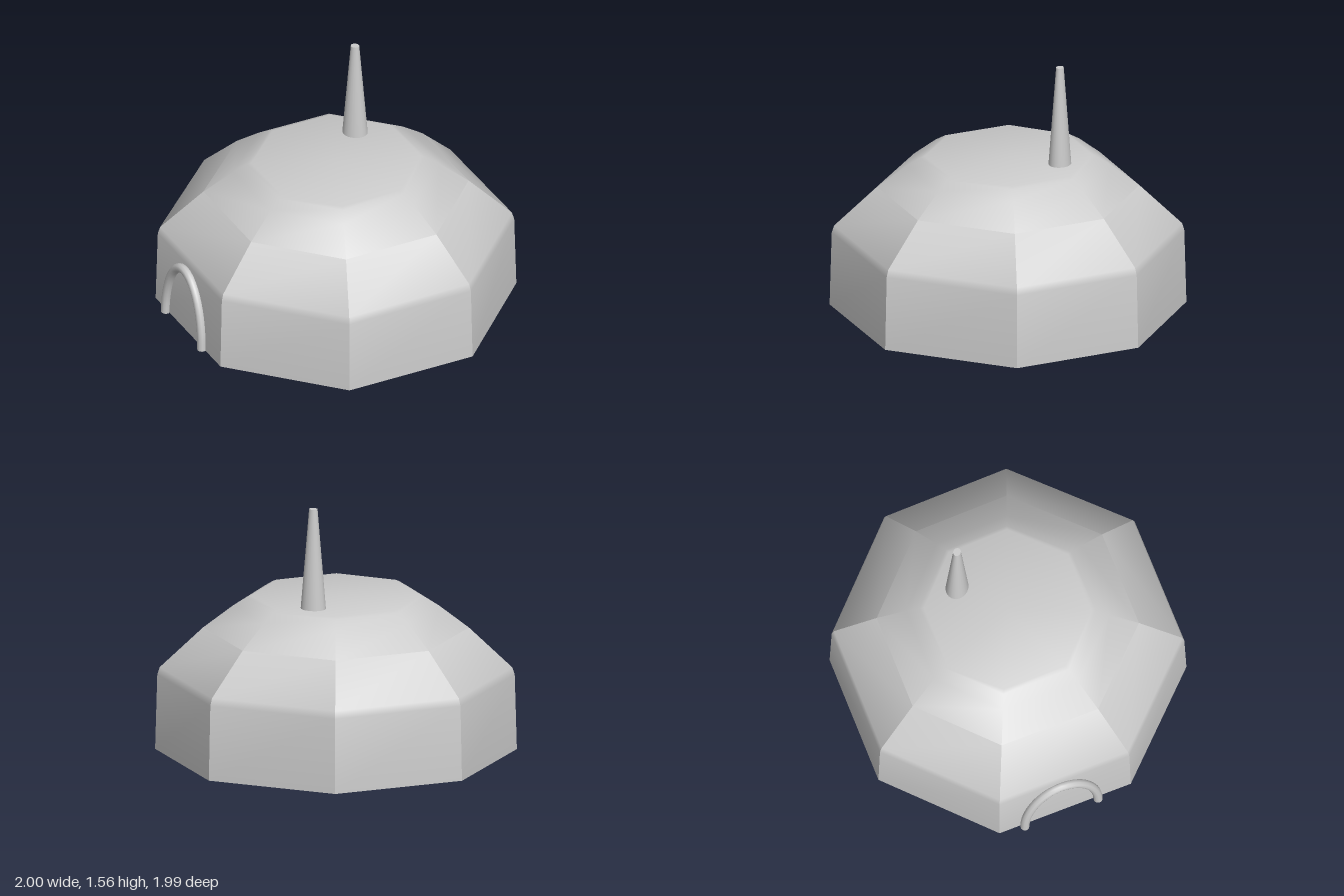
import * as THREE from 'three';
import { toCreasedNormals } from 'three/addons/utils/BufferGeometryUtils.js';

const material = new THREE.MeshStandardMaterial({ color: 0xcccccc });

// Ground outline, [x, z], a slightly irregular octagon
const outline = [
  [0.43, 0.98], [1.0, 0.385], [0.98, -0.46], [0.39, -1.0],
  [-0.425, -0.975], [-0.995, -0.39], [-1.0, 0.41], [-0.385, 0.99],
];

// Cross-sections from the floor centre to the roof centre, [scale, height]
const levels = [
  [0, 0], [1, 0], [0.988, 0.46], [0.975, 0.505], [0.735, 0.75],
  [0.57, 0.885], [0.495, 0.934], [0.47, 0.945], [0, 0.945],
];

function domeGeometry() {
  const points = [];
  const corner = (level, i) => {
    const [x, z] = outline[i % outline.length];
    return [x * level[0], level[1], z * level[0]];
  };
  for (let j = 0; j < levels.length - 1; j++) {
    const low = levels[j], high = levels[j + 1];
    for (let i = 0; i < outline.length; i++) {
      const a = corner(low, i), b = corner(low, i + 1);
      const c = corner(high, i + 1), d = corner(high, i);
      if (low[0] > 0) points.push(...a, ...b, ...c);
      if (high[0] > 0) points.push(...a, ...c, ...d);
    }
  }
  const geometry = new THREE.BufferGeometry();
  geometry.setAttribute('position', new THREE.Float32BufferAttribute(points, 3));
  return toCreasedNormals(geometry, THREE.MathUtils.degToRad(30));
}

function addPart(group, name, geometry) {
  const mesh = new THREE.Mesh(geometry, material);
  mesh.name = name;
  group.add(mesh);
  return mesh;
}

export function createModel() {
  const group = new THREE.Group();
  group.name = 'domedHut';

  // Faceted walls, sloping roof, flat top and floor
  addPart(group, 'dome', domeGeometry());

  // Tapered chimney towards the back
  const chimney = addPart(group, 'chimney', new THREE.CylinderGeometry(0.026, 0.078, 0.625, 20));
  chimney.position.set(0.002, 1.2475, -0.333);
  chimney.scale.z = 0.87;

  // Arched door frame lying on the front right wall
  const arch = [];
  for (let i = 0; i <= 14; i++) {
    const t = (i / 14) * Math.PI;
    arch.push(new THREE.Vector3(0.236 * Math.cos(t), 0.425 * Math.sin(t), 0));
  }
  const frame = addPart(group, 'doorFrame',
    new THREE.TubeGeometry(new THREE.CatmullRomCurve3(arch), 28, 0.028, 10));
  frame.position.set(-0.724, 0, 0.69);
  frame.rotation.set(-0.02, -Math.atan2(0.615, 0.58) + 0.06, 0, 'YXZ');

  // Discs closing the feet of the door frame
  for (const side of [-1, 1]) {
    const foot = addPart(frame, 'doorFrameFoot', new THREE.CircleGeometry(0.028, 10));
    foot.position.x = 0.236 * side;
    foot.rotation.x = Math.PI / 2;
  }

  return group;
}
